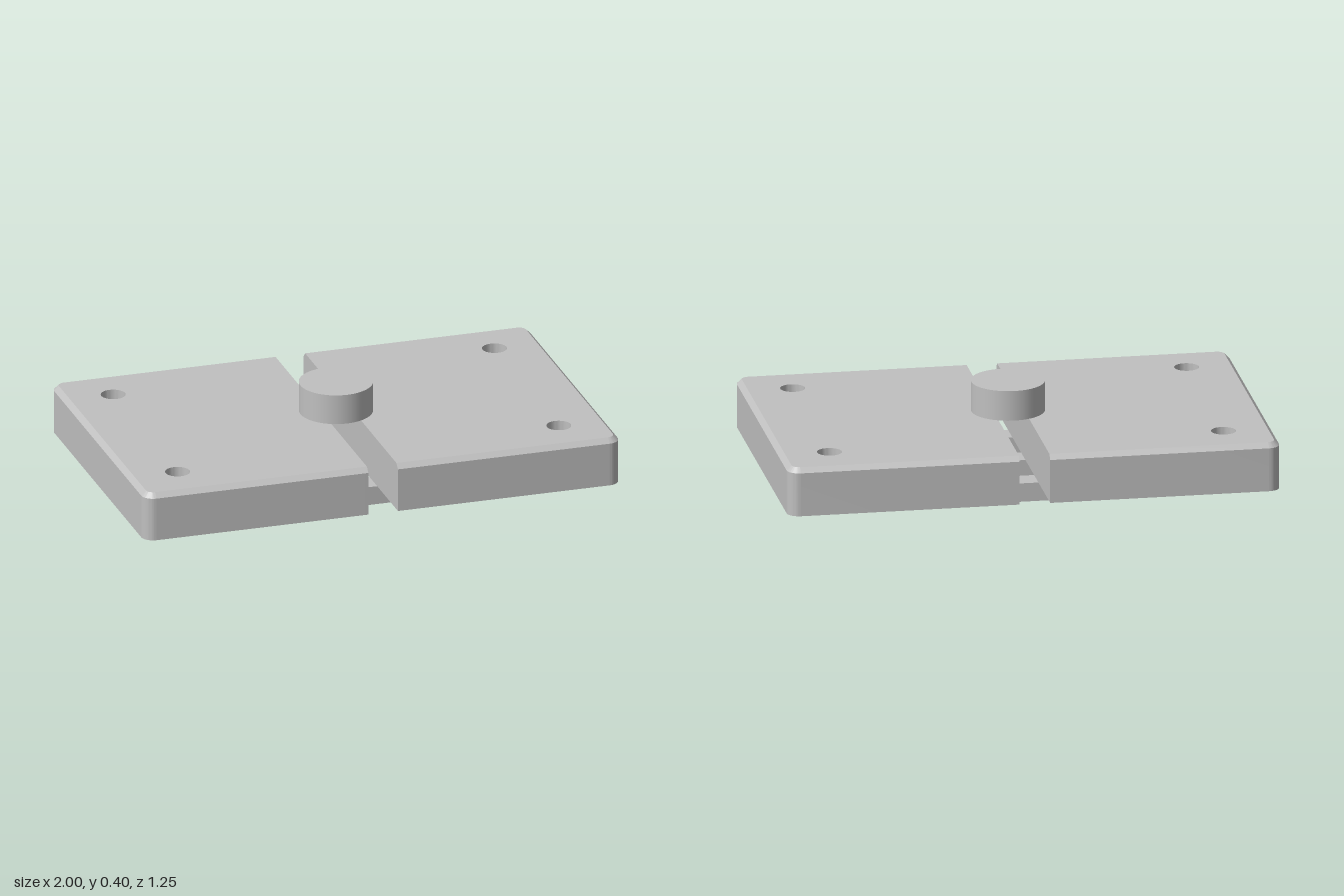
import * as THREE from 'three';
import { toCreasedNormals } from 'three/addons/utils/BufferGeometryUtils.js';

const HALF_Z = 0.623, GAP = 0.062, CORNER = 0.05, CHAMFER = 0.02;
const BASE = 0.077, THICK = 0.2;

// Half plate on the +x side: rounded outer corners, two through holes, chamfered outer top rim
function halfPlateGeometry() {
  const cx = 1 - CORNER, cz = HALF_Z - CORNER;
  const shape = new THREE.Shape();
  shape.moveTo(GAP, -HALF_Z);
  shape.lineTo(cx, -HALF_Z);
  shape.absarc(cx, -cz, CORNER, -Math.PI / 2, 0, false);
  shape.lineTo(1, cz);
  shape.absarc(cx, cz, CORNER, 0, Math.PI / 2, false);
  shape.lineTo(GAP, HALF_Z);
  shape.closePath();
  for (const y of [-0.425, 0.425]) {
    const hole = new THREE.Path();
    hole.absarc(0.8, y, 0.05, 0, Math.PI * 2, true);
    shape.holes.push(hole);
  }
  const geo = new THREE.ExtrudeGeometry(shape, { depth: THICK, steps: 2, curveSegments: 20, bevelEnabled: false });

  // Middle layer becomes the chamfer start; the top layer is pulled in at the outer edges
  const p = geo.attributes.position;
  const k = 1 - CHAMFER / CORNER;
  for (let i = 0; i < p.count; i++) {
    const x = p.getX(i), y = p.getY(i), z = p.getZ(i);
    if (z > THICK * 0.75) {
      if (x > cx) p.setX(i, cx + (x - cx) * k);
      if (Math.abs(y) > cz) p.setY(i, Math.sign(y) * (cz + (Math.abs(y) - cz) * k));
    } else if (z > THICK * 0.25) {
      p.setZ(i, THICK - CHAMFER);
    }
  }
  geo.rotateX(-Math.PI / 2);
  return toCreasedNormals(geo, 0.5);
}

export function createModel() {
  const model = new THREE.Group();
  model.name = 'slottedPlate';
  const grey = new THREE.MeshStandardMaterial({ color: 0xc0c0c0 });
  grey.name = 'light grey';

  const add = (name, geometry, x, y, z) => {
    const mesh = new THREE.Mesh(geometry, grey);
    mesh.name = name;
    mesh.position.set(x, y, z);
    model.add(mesh);
    return mesh;
  };

  // Two plate halves, the second turned round to mirror the first
  const half = halfPlateGeometry();
  add('leftPlate', half, 0, BASE, 0);
  add('rightPlate', half, 0, BASE, 0).rotation.y = Math.PI;

  // Round boss bridging the gap
  const top = BASE + THICK;
  add('boss', new THREE.CylinderGeometry(0.149, 0.149, 0.401 - top, 64), 0, (0.401 + top) / 2, 0);

  // Three rails underneath
  const rail = new THREE.BoxGeometry(1.6, BASE, 0.1);
  for (const z of [-0.3, 0, 0.3]) add('rail', rail, 0, BASE / 2, z);

  return model;
}
